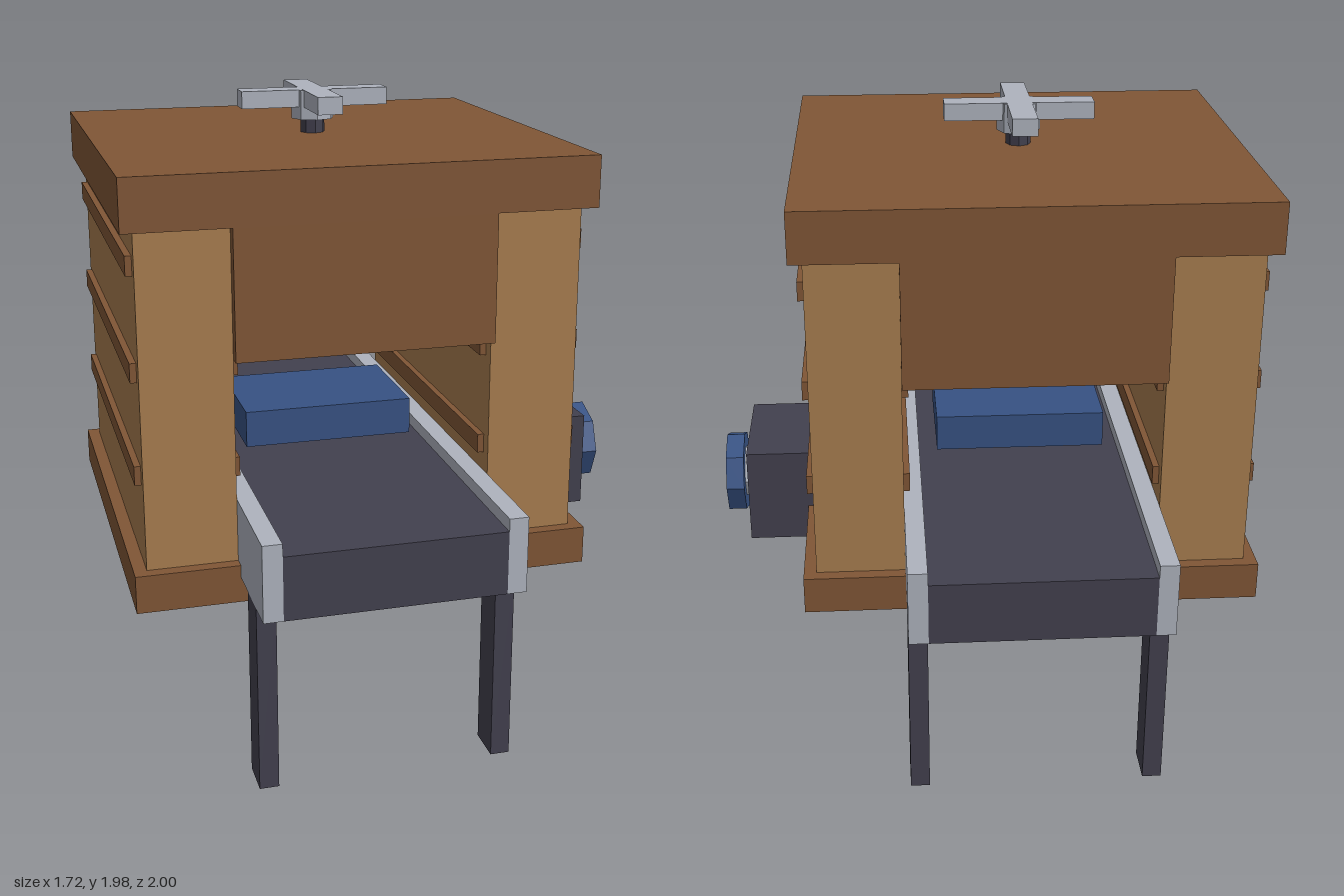
import * as THREE from 'three';

const mat = (name, color) => {
  const m = new THREE.MeshStandardMaterial({ color });
  m.name = name;
  return m;
};

export function createModel() {
  const darkWood = mat('dark wood', 0x805636);
  const lightWood = mat('light wood', 0xa87d4f);
  const blue = mat('blue', 0x375283);
  const darkMetal = mat('dark metal', 0x42404e);
  const steel = mat('pale steel', 0xaeb3be);

  const model = new THREE.Group();
  model.name = 'conveyorPress';

  const add = (name, geometry, material) => {
    const mesh = new THREE.Mesh(geometry.toNonIndexed(), material);
    mesh.geometry.computeVertexNormals(); // crisp facets
    mesh.name = name;
    model.add(mesh);
    return mesh;
  };
  // Box given by its lower and upper corner on each axis
  const box = (name, material, [x0, x1], [y0, y1], [z0, z1]) =>
    add(name, new THREE.BoxGeometry(x1 - x0, y1 - y0, z1 - z0), material)
      .position.set((x0 + x1) / 2, (y0 + y1) / 2, (z0 + z1) / 2);
  // Eight-sided cylinders, upright or lying along x
  const upright = (name, material, r, y0, y1) =>
    add(name, new THREE.CylinderGeometry(r, r, y1 - y0, 8), material)
      .position.set(CX, (y0 + y1) / 2, 0);
  const lying = (name, material, r, x0, x1) => {
    const mesh = add(name, new THREE.CylinderGeometry(r, r, x1 - x0, 8).rotateZ(-Math.PI / 2), material);
    mesh.position.set((x0 + x1) / 2, 0.68, 0);
  };
  const CX = -0.14; // centre line of the cabinet

  // Cabinet
  box('baseSlab', darkWood, [-0.86, 0.58], [0.52, 0.64], [-0.68, 0.68]);
  box('roofSlab', darkWood, [-0.86, 0.58], [1.68, 1.84], [-0.68, 0.68]);
  box('frontApron', darkWood, [-0.54, 0.26], [1.28, 1.68], [0.64, 0.68]);
  box('backApron', darkWood, [-0.54, 0.26], [1.28, 1.68], [-0.68, -0.64]);

  for (const [side, s] of [['left', 1], ['right', -1]]) {
    const span = (a, b) => [CX + s * a, CX + s * b].sort((p, q) => p - q);
    box(side + 'Wall', lightWood, span(0.4, 0.68), [0.64, 1.68], [-0.64, 0.64]);
    // Slats show on both faces of the wall
    for (const y of [0.9, 1.22, 1.54])
      box(side + 'Slat', darkWood, span(0.38, 0.7), [y, y + 0.06], [-0.6, 0.6]);
    // Conveyor rail and its two legs
    box(side + 'Rail', steel, span(0.34, 0.4), [0.6, 0.84], [-1, 1]);
    box(side + 'FrontLeg', darkMetal, span(0.34, 0.4), [0, 0.6], [0.78, 0.9]);
    box(side + 'BackLeg', darkMetal, span(0.34, 0.4), [0, 0.6], [-0.9, -0.78]);
  }

  // Conveyor belt and the plate above it
  box('belt', darkMetal, [-0.48, 0.2], [0.6, 0.8], [-1, 1]);
  box('pressPlate', blue, [-0.42, 0.14], [0.84, 0.96], [-0.2, 0.2]);

  // Cross handle on the roof
  upright('handleShaft', darkMetal, 0.04, 1.84, 1.9);
  upright('handleHub', steel, 0.07, 1.885, 1.979);
  box('handleBarX', steel, [CX - 0.24, CX + 0.24], [1.925, 1.98], [-0.04, 0.04]);
  box('handleBarZ', steel, [CX - 0.04, CX + 0.04], [1.925, 1.98], [-0.24, 0.24]);

  // Motor box with its wheel
  box('motorBox', darkMetal, [0.54, 0.78], [0.52, 0.84], [-0.2, 0.2]);
  lying('wheel', blue, 0.14, 0.8, 0.86);
  lying('wheelHub', steel, 0.09, 0.78, 0.862);

  return model;
}
